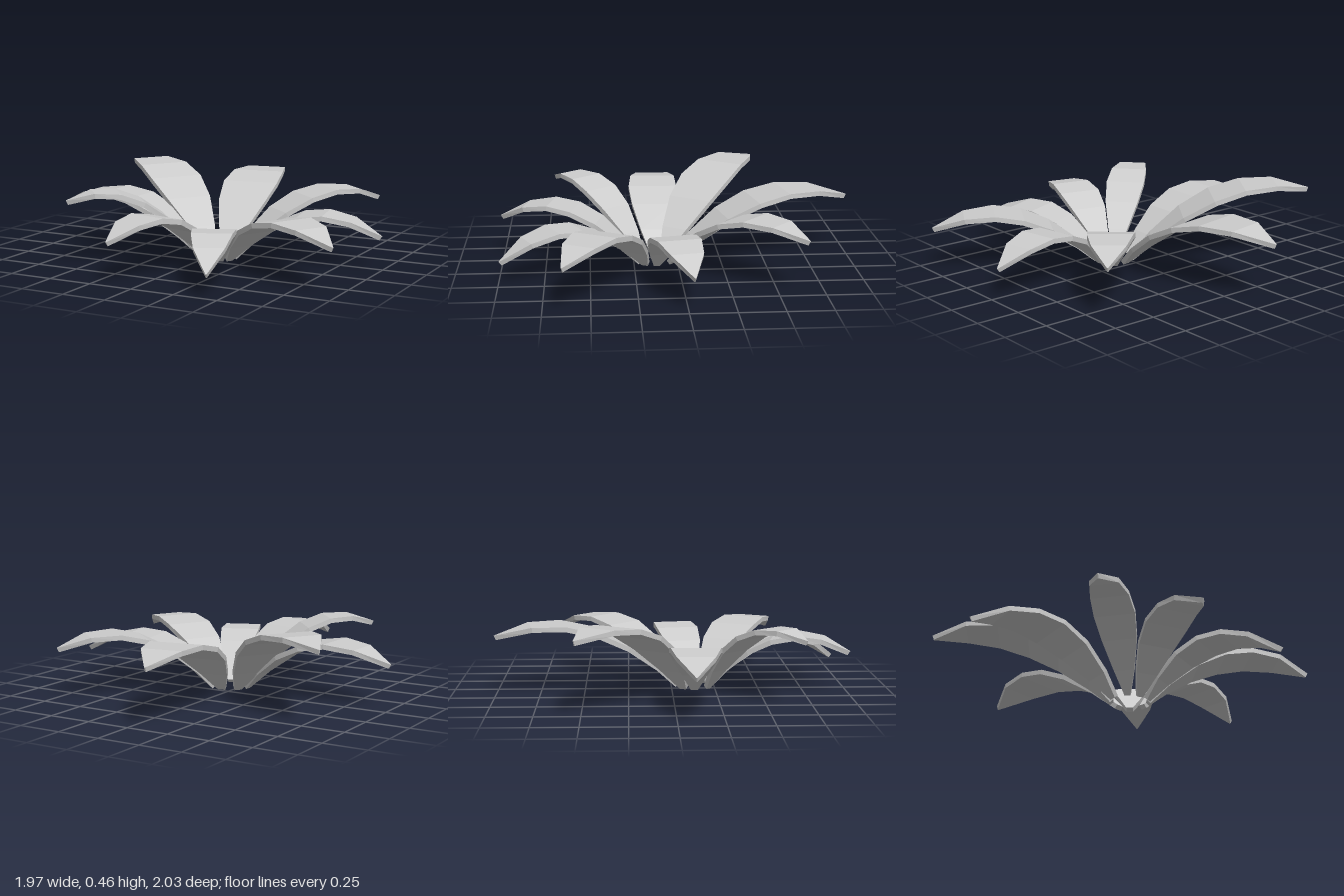
import * as THREE from 'three';

const THICKNESS = 0.028;

// Stations along a leaf: [fraction of length, fraction of full width]
const OUTLINE = [[0, 0.14], [0.12, 0.5], [0.29, 0.85], [0.46, 1], [0.63, 0.93], [0.81, 0.7], [1, 0.02]];

// Each leaf: base x, base z, tip x, tip z, tip height, crest height, full width
const LEAVES = [
  [0.06, 0.04, -0.12, -1.0, 0.335, 0.395, 0.335],
  [0.12, 0.05, 0.72, -0.65, 0.295, 0.367, 0.265],
  [0.15, 0.125, 0.965, -0.03, 0.185, 0.295, 0.255],
  [0.14, 0.18, 0.96, 0.64, 0.25, 0.33, 0.28],
  [0.11, 0.21, 0.43, 0.98, 0.13, 0.272, 0.235],
  [0.055, 0.22, -0.135, 1.0, 0.24, 0.33, 0.25],
  [-0.005, 0.2, -0.58, 0.7, 0.37, 0.415, 0.23],
  [-0.04, 0.13, -0.97, 0.095, 0.25, 0.342, 0.29],
  [-0.015, 0.075, -0.86, -0.525, 0.42, 0.457, 0.325],
];

// Thick arched blade growing along +x from the origin
function leafGeometry(length, tipY, crestY, width) {
  // Parabola y = a t - b t^2 through the tip and the crest
  const a = 2 * crestY + 2 * Math.sqrt(crestY * (crestY - tipY));
  const b = a - tipY;
  const rings = OUTLINE.map(([t, w]) => {
    const slope = (a - 2 * b * t) / length;
    const n = new THREE.Vector2(-slope, 1).normalize().multiplyScalar(THICKNESS);
    const x = length * t, y = a * t - b * t * t, h = width * w / 2;
    return [
      [x + n.x, y + n.y, -h], [x + n.x, y + n.y, h],
      [x, y, h], [x, y, -h],
    ];
  });

  const positions = [];
  const quad = (p, q, r, s) => positions.push(...p, ...q, ...r, ...p, ...r, ...s);
  for (let i = 0; i < rings.length - 1; i++) {
    for (let k = 0; k < 4; k++) {
      const m = (k + 1) % 4;
      quad(rings[i][k], rings[i][m], rings[i + 1][m], rings[i + 1][k]);
    }
  }
  // End caps
  quad(...[...rings[0]].reverse());
  quad(...rings[rings.length - 1]);

  const geometry = new THREE.BufferGeometry();
  geometry.setAttribute('position', new THREE.Float32BufferAttribute(positions, 3));
  geometry.computeVertexNormals();
  return geometry;
}

export function createModel() {
  const group = new THREE.Group();
  group.name = 'leafRosette';
  const material = new THREE.MeshStandardMaterial({ color: 0xcccccc, flatShading: true });

  LEAVES.forEach(([bx, bz, tx, tz, tipY, crestY, width], i) => {
    const direction = new THREE.Vector2(tx - bx, tz - bz);
    const inset = 0.02; // the underside starts a little outside the upper edge
    const length = direction.length() - inset;
    direction.normalize();
    const leaf = new THREE.Mesh(
      leafGeometry(length, tipY - THICKNESS, crestY - THICKNESS, width), material);
    leaf.name = `leaf${i + 1}`;
    leaf.position.set(bx + direction.x * inset, 0, bz + direction.y * inset);
    leaf.rotation.y = Math.atan2(-direction.y, direction.x);
    group.add(leaf);
  });
  return group;
}
